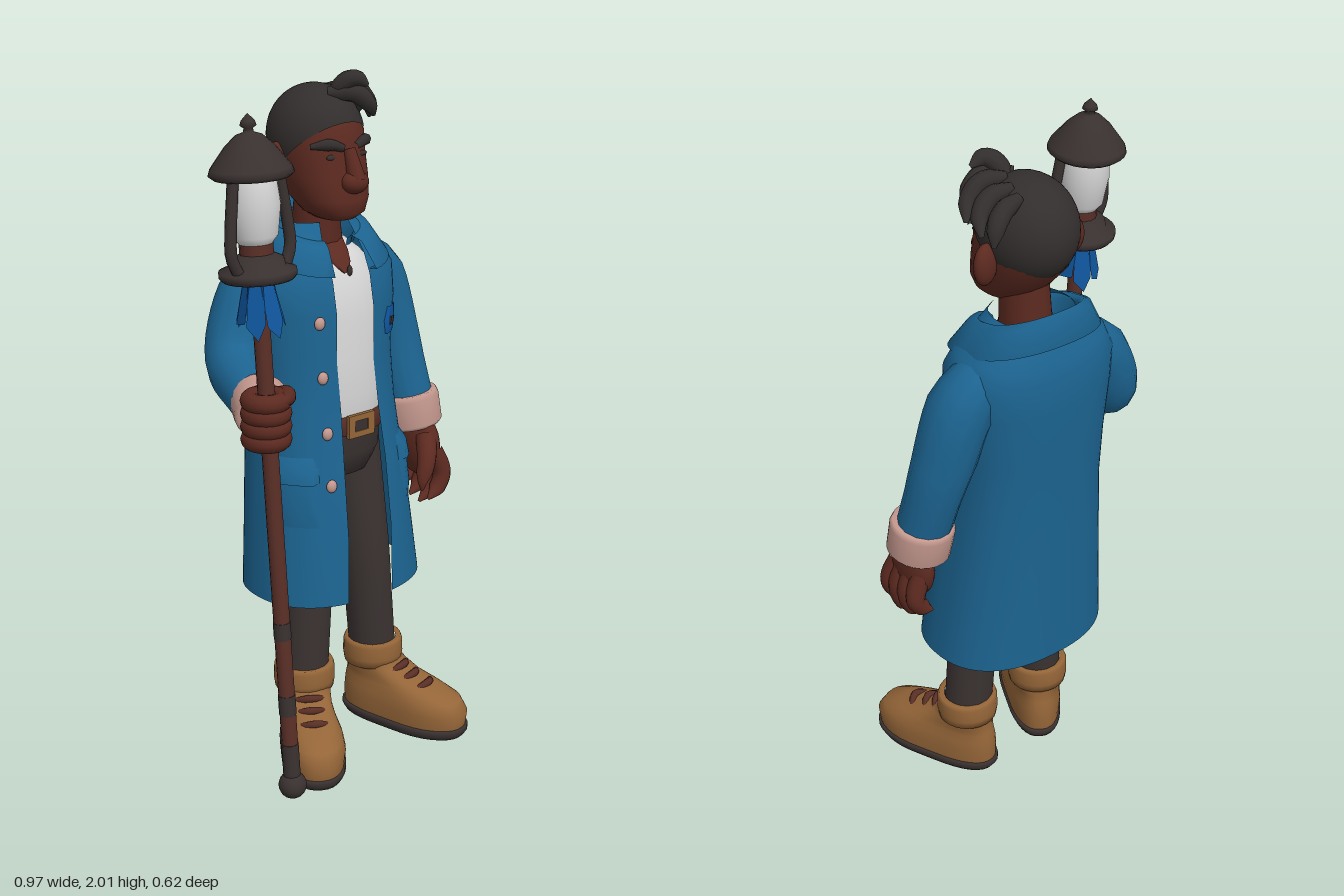
import * as THREE from 'three';

const mat = (name, color, side = THREE.FrontSide) => {
  const m = new THREE.MeshStandardMaterial({ color, side });
  m.name = name;
  return m;
};
const V = (p) => new THREE.Vector3(...p);
const UP = new THREE.Vector3(0, 1, 0);
const outline = (pts) => pts.map((p) => new THREE.Vector2(...p));

// Point on a rounded oval ring [y, cx, cz, rx, rz]; angle 0 faces the front
const POW = 0.86;
const bend = (v) => Math.sign(v) * Math.abs(v) ** POW;
const ringPoint = ([y, cx, cz, rx, rz], a, drop = 0) =>
  [cx + rx * bend(Math.sin(a)), y - drop * (1 + Math.cos(a)) / 2, cz + rz * bend(Math.cos(a))];
const angleAt = ([, cx, , rx], x) => {
  const t = (x - cx) / rx;
  return Math.asin(Math.sign(t) * Math.min(1, Math.abs(t)) ** (1 / POW));
};

// Skin over a list of point rows, bottom row first
function skin(rows, closed) {
  const n = rows[0].length, idx = [];
  for (let i = 0; i < rows.length - 1; i++) {
    for (let j = 0; j < (closed ? n : n - 1); j++) {
      const k = (j + 1) % n, a = i * n + j, b = i * n + k;
      idx.push(a, b, a + n, b, b + n, a + n);
    }
  }
  const g = new THREE.BufferGeometry();
  g.setAttribute('position', new THREE.Float32BufferAttribute(rows.flat(2), 3));
  g.setIndex(idx);
  g.computeVertexNormals();
  return g;
}

// Loft of rings; columns 5 and 6 of a ring are the x limits of a front opening
function loft(rings, { n = 36, drop = 0 } = {}) {
  const open = rings[0].length > 5;
  return skin(rings.map((r) => {
    const a0 = open ? angleAt(r, r[6]) : 0;
    const a1 = open ? angleAt(r, r[5]) + 2 * Math.PI : 2 * Math.PI;
    return Array.from({ length: n }, (_, j) => ringPoint(r, a0 + (a1 - a0) * j / (open ? n - 1 : n), drop));
  }), !open);
}

// Point on a lofted surface, pushed outwards
function surfaceAt(rings, y, a, out) {
  const i = Math.max(0, rings.findIndex((r, k) => k < rings.length - 1 && y <= rings[k + 1][0]));
  const t = (y - rings[i][0]) / (rings[i + 1][0] - rings[i][0]);
  const r = rings[i].slice(0, 5).map((v, k) => THREE.MathUtils.lerp(v, rings[i + 1][k], t));
  return ringPoint([r[0], r[1], r[2], r[3] + out, r[4] + out], a);
}

// Tube through points whose radius follows a list
function limb(points, radii, seg = 16, sides = 14) {
  const curve = new THREE.CatmullRomCurve3(points.map(V));
  const g = new THREE.TubeGeometry(curve, seg, 1, sides);
  const pos = g.attributes.position, v = new THREE.Vector3();
  for (let i = 0; i < pos.count; i++) {
    const u = g.attributes.uv.getX(i), p = curve.getPointAt(u);
    const t = u * (radii.length - 1), k = Math.min(Math.floor(t), radii.length - 2);
    v.fromBufferAttribute(pos, i).sub(p).multiplyScalar(THREE.MathUtils.lerp(radii[k], radii[k + 1], t - k)).add(p);
    pos.setXYZ(i, v.x, v.y, v.z);
  }
  return g;
}
const ball = (p, s) => new THREE.SphereGeometry(1, 20, 14).scale(...s).translate(...p);
const lathe = (pts, n = 24) => new THREE.LatheGeometry(outline(pts), n);

// Narrow the heel and keep the toe wide
function shoe(rings) {
  const g = loft(rings), pos = g.attributes.position;
  for (let i = 0; i < pos.count; i++) {
    pos.setX(i, pos.getX(i) * (0.9 + 0.14 * THREE.MathUtils.smoothstep(pos.getZ(i), 0.05, 0.24)));
  }
  g.computeVertexNormals();
  return g;
}

export function createModel() {
  const M = {
    skin: mat('skin', 0x5c2a20), coat: mat('blue coat', 0x1c6491, THREE.DoubleSide),
    hair: mat('hair', 0x332e2e), pants: mat('trousers', 0x3a3231),
    boot: mat('tan leather', 0x946538), shirt: mat('white shirt', 0xd6d6d6),
    cuff: mat('pink lining', 0xc4988e), wood: mat('staff wood', 0x5a2f27),
    metal: mat('dark metal', 0x393130), ribbon: mat('ribbon blue', 0x0f559c, THREE.DoubleSide),
  };
  const model = new THREE.Group();
  const add = (name, geo, m, parent = model) => {
    const mesh = new THREE.Mesh(geo, m);
    mesh.name = name;
    parent.add(mesh);
    return mesh;
  };
  const group = (name) => {
    const g = new THREE.Group();
    g.name = name;
    model.add(g);
    return g;
  };

  // Coat body, open at the front
  const coat = [
    [0.50, 0.07, -0.065, 0.275, 0.215, -0.03, 0.13], [0.70, 0.065, -0.075, 0.255, 0.208, -0.02, 0.14],
    [0.90, 0.065, -0.095, 0.237, 0.195, -0.01, 0.145], [1.05, 0.065, -0.11, 0.226, 0.182, 0, 0.14],
    [1.20, 0.065, -0.125, 0.225, 0.177, 0, 0.135], [1.35, 0.065, -0.13, 0.24, 0.18, 0, 0.135],
    [1.44, 0.065, -0.138, 0.245, 0.17, 0, 0.135], [1.50, 0.065, -0.145, 0.215, 0.15, 0, 0.135],
    [1.55, 0.065, -0.15, 0.155, 0.122, 0.01, 0.13], [1.59, 0.065, -0.15, 0.115, 0.1, 0.02, 0.12],
  ];
  add('coatBody', loft(coat, { n: 56 }), M.coat);
  add('collar', loft([
    [1.55, 0.065, -0.15, 0.11, 0.1, 0.02, 0.115], [1.62, 0.065, -0.15, 0.12, 0.112, 0.02, 0.11],
    [1.63, 0.065, -0.146, 0.137, 0.125, 0.015, 0.115], [1.618, 0.065, -0.138, 0.163, 0.148, 0.005, 0.125],
    [1.545, 0.065, -0.12, 0.205, 0.18, -0.01, 0.14], [1.54, 0.065, -0.128, 0.185, 0.158, -0.01, 0.14],
  ], { n: 40, drop: 0.09 }), M.coat);

  // Panels sewn onto a surface, tucked in along their sides
  const patch = (name, rings, y0, y1, spans, outs, m) => {
    const rows = outs.map((o, i) => Array.from({ length: 9 }, (_, j) => {
      const [a0, a1] = spans[Math.min(i, spans.length - 1)];
      return surfaceAt(rings, y0 + (y1 - y0) * i / (outs.length - 1), a0 + (a1 - a0) * j / 8, j % 8 ? o : -0.004);
    }));
    add(name, skin(rows, false), m);
  };
  for (const span of [[0.6, 1.35], [-1.35, -0.6]]) {
    patch('pocket', coat, 0.72, 0.92, [span], [-0.004, 0.009, 0.011, 0.011], M.coat);
    patch('pocketFlap', coat, 0.87, 0.95, [span], [0.019, 0.017, -0.004], M.coat);
  }
  patch('chestPatch', coat, 1.25, 1.33, [[0.53, 0.8], [0.48, 0.85], [0.56, 0.82]], [0.005, 0.008, 0.005], M.ribbon);
  patch('chestStitch', coat, 1.275, 1.3, [[0.58, 0.72]], [0.01, 0.011], M.metal);
  for (const y of [1.33, 1.17, 1.01, 0.86]) {
    add('button', ball(surfaceAt(coat, y, -0.46, 0.006), [0.017, 0.019, 0.012]), M.cuff);
  }

  // Shirt with a V neck, trousers and belt
  const shirt = [
    [1.0, 0.065, -0.1, 0.16, 0.155], [1.1, 0.065, -0.1, 0.175, 0.166], [1.2, 0.065, -0.115, 0.185, 0.168],
    [1.32, 0.065, -0.122, 0.19, 0.168], [1.43, 0.065, -0.13, 0.18, 0.15], [1.49, 0.065, -0.135, 0.13, 0.115],
    [1.53, 0.065, -0.14, 0.08, 0.08],
  ];
  add('shirt', loft(shirt), M.shirt);
  patch('chestSkin', shirt, 1.45, 1.53, [[-0.04, 0.04], [-0.2, 0.2], [-0.38, 0.38], [-0.7, 0.7]], [0.004, 0.005, 0.005, 0.005], M.skin);
  add('pendant', ball([0.075, 1.455, 0.012], [0.008, 0.016, 0.007]), M.metal);
  add('hips', loft([
    [0.82, 0.065, -0.08, 0.02, 0.05], [0.85, 0.065, -0.08, 0.12, 0.11], [0.92, 0.065, -0.085, 0.16, 0.138],
    [1.01, 0.065, -0.095, 0.16, 0.153],
  ]), M.pants);
  add('belt', loft([
    [0.985, 0.065, -0.095, 0.15, 0.145], [0.985, 0.065, -0.095, 0.167, 0.163],
    [1.04, 0.065, -0.095, 0.169, 0.165], [1.04, 0.065, -0.095, 0.15, 0.145],
  ]), M.wood);
  const buckle = new THREE.Shape(outline([[-0.048, -0.034], [0.048, -0.034], [0.048, 0.034], [-0.048, 0.034]]));
  buckle.holes.push(new THREE.Path(outline([[-0.024, -0.016], [-0.024, 0.016], [0.024, 0.016], [0.024, -0.016]])));
  add('buckle', new THREE.ExtrudeGeometry(buckle, { depth: 0.012, bevelEnabled: false }).translate(0.07, 1.012, 0.064), M.boot);
  add('buckleCentre', new THREE.BoxGeometry(0.052, 0.036, 0.008).translate(0.07, 1.012, 0.068), M.metal);

  // Legs and boots, turned outwards
  for (const [side, hip, foot, turn] of [['left', 0.145, 0.21, 0.32], ['right', -0.015, -0.062, -0.52]]) {
    add(side + 'Leg', limb([[hip, 0.93, -0.08], [(hip + foot) / 2, 0.58, -0.04], [foot, 0.2, -0.03]], [0.095, 0.082, 0.074, 0.072]), M.pants);
    const b = group(side + 'Boot');
    b.position.set(foot, 0, -0.03);
    b.rotation.y = turn;
    add('sole', shoe([[0, 0, 0.115, 0.001, 0.001], [0, 0, 0.115, 0.088, 0.203], [0.015, 0, 0.115, 0.095, 0.214],
      [0.032, 0, 0.115, 0.095, 0.214], [0.034, 0, 0.115, 0.05, 0.1]]), M.metal, b);
    add('upper', shoe([[0.028, 0, 0.115, 0.09, 0.206], [0.075, 0, 0.117, 0.094, 0.21], [0.11, 0, 0.107, 0.089, 0.197],
      [0.135, 0, 0.077, 0.081, 0.162], [0.155, 0, 0.045, 0.079, 0.125], [0.18, 0, 0.017, 0.082, 0.098],
      [0.2, 0, 0.003, 0.084, 0.082], [0.25, 0, 0, 0.086, 0.08]]), M.boot, b);
    add('bootCuff', lathe([[0.07, 0.19], [0.088, 0.184], [0.092, 0.21], [0.091, 0.25], [0.086, 0.263], [0.07, 0.26]]), M.boot, b);
    for (const [y, z] of [[0.149, 0.2], [0.167, 0.15], [0.187, 0.113]]) {
      add('lace', limb([[-0.05, y - 0.016, z - 0.025], [0, y + 0.002, z], [0.05, y - 0.016, z - 0.025]], [0.009, 0.012, 0.009], 8, 8), M.wood, b);
    }
  }

  // Sleeves and turned-back cuffs
  add('leftSleeve', limb([[0.19, 1.45, -0.15], [0.288, 1.395, -0.155], [0.355, 1.2, -0.135], [0.393, 0.96, -0.08]], [0.07, 0.094, 0.088, 0.079, 0.076]), M.coat);
  add('rightSleeve', limb([[-0.05, 1.45, -0.15], [-0.14, 1.395, -0.16], [-0.235, 1.225, -0.12], [-0.295, 1.155, 0.05]], [0.07, 0.093, 0.088, 0.079, 0.068]), M.coat);
  const cuffs = [['leftCuff', [0.393, 0.955, -0.077], [-0.1, 1, -0.15], 1], ['rightCuff', [-0.293, 1.152, 0.075], [0.45, 0.2, -0.85], 0.88]];
  for (const [name, p, d, s] of cuffs) {
    const c = add(name, lathe([[0.06, -0.05], [0.08, -0.056], [0.09, -0.045], [0.092, 0.035], [0.086, 0.052], [0.06, 0.05]]), M.cuff);
    c.position.set(...p);
    c.quaternion.setFromUnitVectors(UP, V(d).normalize());
    c.scale.setScalar(s);
  }

  // Relaxed left hand
  const lh = group('leftHand');
  add('palm', ball([0.4, 0.845, -0.045], [0.045, 0.1, 0.085]), M.skin, lh);
  [-0.1, -0.058, -0.015, 0.026].forEach((z, i) => {
    const low = [0.7, 0.675, 0.665, 0.685][i];
    add('finger', limb([[0.41, 0.84, z * 0.85 - 0.01], [0.434, 0.76, z], [0.415, low + 0.03, z], [0.378, low, z]], [0.026, 0.029, 0.027, 0.025, 0.004]), M.skin, lh);
  });
  add('thumb', limb([[0.39, 0.88, 0.0], [0.355, 0.82, 0.042], [0.336, 0.76, 0.047], [0.34, 0.73, 0.042]], [0.032, 0.03, 0.025, 0.004]), M.skin, lh);

  // Right fist around the staff
  const rh = group('rightHand');
  add('palm', ball([-0.335, 1.16, 0.145], [0.058, 0.08, 0.062]), M.skin, rh);
  [1.105, 1.141, 1.177, 1.213].forEach((y) =>
    add('finger', new THREE.TorusGeometry(0.043, 0.027, 12, 20).rotateX(Math.PI / 2).translate(-0.36, y, 0.187), M.skin, rh));
  add('thumb', limb([[-0.3, 1.19, 0.14], [-0.295, 1.215, 0.19], [-0.34, 1.22, 0.24], [-0.37, 1.215, 0.24]], [0.03, 0.026, 0.023, 0.004]), M.skin, rh);

  // Head
  const head = group('head');
  add('neck', limb([[0.065, 1.44, -0.13], [0.065, 1.55, -0.125], [0.068, 1.68, -0.12]], [0.09, 0.072, 0.068]), M.skin, head);
  add('skull', loft([
    [1.6, 0.068, -0.05, 0.001, 0.001], [1.603, 0.068, -0.05, 0.05, 0.065], [1.622, 0.068, -0.052, 0.08, 0.09],
    [1.66, 0.068, -0.073, 0.103, 0.113], [1.72, 0.068, -0.105, 0.116, 0.135], [1.78, 0.068, -0.125, 0.121, 0.14],
    [1.84, 0.068, -0.13, 0.12, 0.139], [1.9, 0.068, -0.135, 0.097, 0.115], [1.94, 0.068, -0.135, 0.05, 0.06],
  ]), M.skin, head);
  add('nose', ball([0.074, 1.712, 0.033], [0.043, 0.033, 0.034]), M.skin, head);
  add('noseBridge', limb([[0.072, 1.8, 0.01], [0.073, 1.76, 0.026], [0.074, 1.715, 0.042]], [0.018, 0.022, 0.028]), M.skin, head);
  for (const s of [-1, 1]) {
    const x = 0.07;
    const ear = add('ear', ball([0, 0, 0], [0.042, 0.058, 0.026]), M.skin, head);
    ear.position.set(x + s * 0.138, 1.757, -0.14);
    ear.rotation.y = s * 0.35;
    add('brow', limb([[x + s * 0.022, 1.806, 0.014], [x + s * 0.06, 1.818, 0.006], [x + s * 0.102, 1.812, -0.03]], [0.011, 0.017, 0.007], 10, 8), M.hair, head);
    add('eye', ball([x + s * 0.052, 1.782, 0.003], [0.02, 0.008, 0.006]), M.metal, head);
  }

  // Cropped hair cap with twisted locks swept to one side
  add('hairCap', new THREE.SphereGeometry(1, 32, 18, 0, Math.PI * 2, 0, Math.PI * 0.61)
    .rotateX(-0.72).scale(0.131, 0.145, 0.15).translate(0.068, 1.82, -0.133), M.hair, head);
  const locks = [
    [[0.06, 1.945, -0.07], [0.12, 1.945, -0.025], [0.165, 1.91, -0.015], [0.195, 1.875, -0.03]],
    [[0.1, 1.95, -0.09], [0.16, 1.945, -0.065], [0.205, 1.905, -0.065], [0.23, 1.86, -0.09]],
    [[0.12, 1.945, -0.14], [0.18, 1.93, -0.125], [0.22, 1.895, -0.135], [0.238, 1.85, -0.165]],
    [[0.13, 1.935, -0.18], [0.185, 1.915, -0.185], [0.215, 1.88, -0.195], [0.222, 1.83, -0.195]],
    [[0.085, 1.93, -0.07], [0.095, 1.97, -0.045], [0.12, 1.985, -0.02], [0.155, 1.965, -0.01]],
  ];
  locks.forEach((p) => add('hairLock', limb(p, [0.016, 0.026, 0.027, 0.022, 0.006], 16, 10), M.hair, head));

  // Staff with lantern, leaning slightly
  const staff = group('lanternStaff');
  staff.position.set(-0.345, 0.08, 0.27);
  staff.quaternion.setFromUnitVectors(UP, V([-0.025, 1.87, -0.132]).normalize());
  const rod = (name, r, y0, y1, m) => add(name, new THREE.CylinderGeometry(r, r, y1 - y0, 14).translate(0, (y0 + y1) / 2, 0), m, staff);
  rod('pole', 0.023, 0, 1.58, M.wood);
  add('poleFoot', ball([0, 0, 0], [0.04, 0.04, 0.04]), M.metal, staff);
  for (const [y0, y1] of [[0.02, 0.13], [0.22, 0.28], [0.45, 0.5]]) rod('poleBand', 0.0245, y0, y1, M.metal);
  add('lanternBase', lathe([[0, 1.465], [0.095, 1.465], [0.103, 1.475], [0.103, 1.49], [0.075, 1.5], [0.07, 1.52], [0.04, 1.535], [0, 1.535]]), M.metal, staff);
  rod('lanternNeck', 0.045, 1.53, 1.575, M.wood);
  add('lanternGlass', lathe([[0.045, 1.56], [0.06, 1.58], [0.071, 1.66], [0.064, 1.73], [0.05, 1.75]]), M.shirt, staff);
  add('lanternRoof', lathe([[0, 1.735], [0.1, 1.73], [0.112, 1.74], [0.107, 1.755], [0.065, 1.81], [0.035, 1.838],
    [0.014, 1.845], [0.012, 1.855], [0.022, 1.862], [0.018, 1.874], [0, 1.893]]), M.metal, staff);
  for (const s of [-1, 1]) {
    add('lanternPost', limb([[s * 0.075, 1.49, 0.02], [s * 0.095, 1.54, 0.02], [s * 0.092, 1.6, 0.02], [s * 0.073, 1.74, 0.02]], [0.016, 0.016, 0.015], 12, 8), M.metal, staff);
  }
  // Torn ribbon strips below the lantern
  for (let i = 0; i < 7; i++) {
    const strip = new THREE.Shape(outline([[-0.02, 0], [0.02, 0], [0.028, -0.12], [0.008, -0.165 + 0.02 * (i % 3)], [-0.024, -0.13]]));
    add('ribbonStrip', new THREE.ShapeGeometry(strip).rotateX(-0.22).translate(0, 1.475, 0.032), M.ribbon, staff)
      .rotation.y = i * Math.PI * 2 / 7;
  }
  return model;
}
